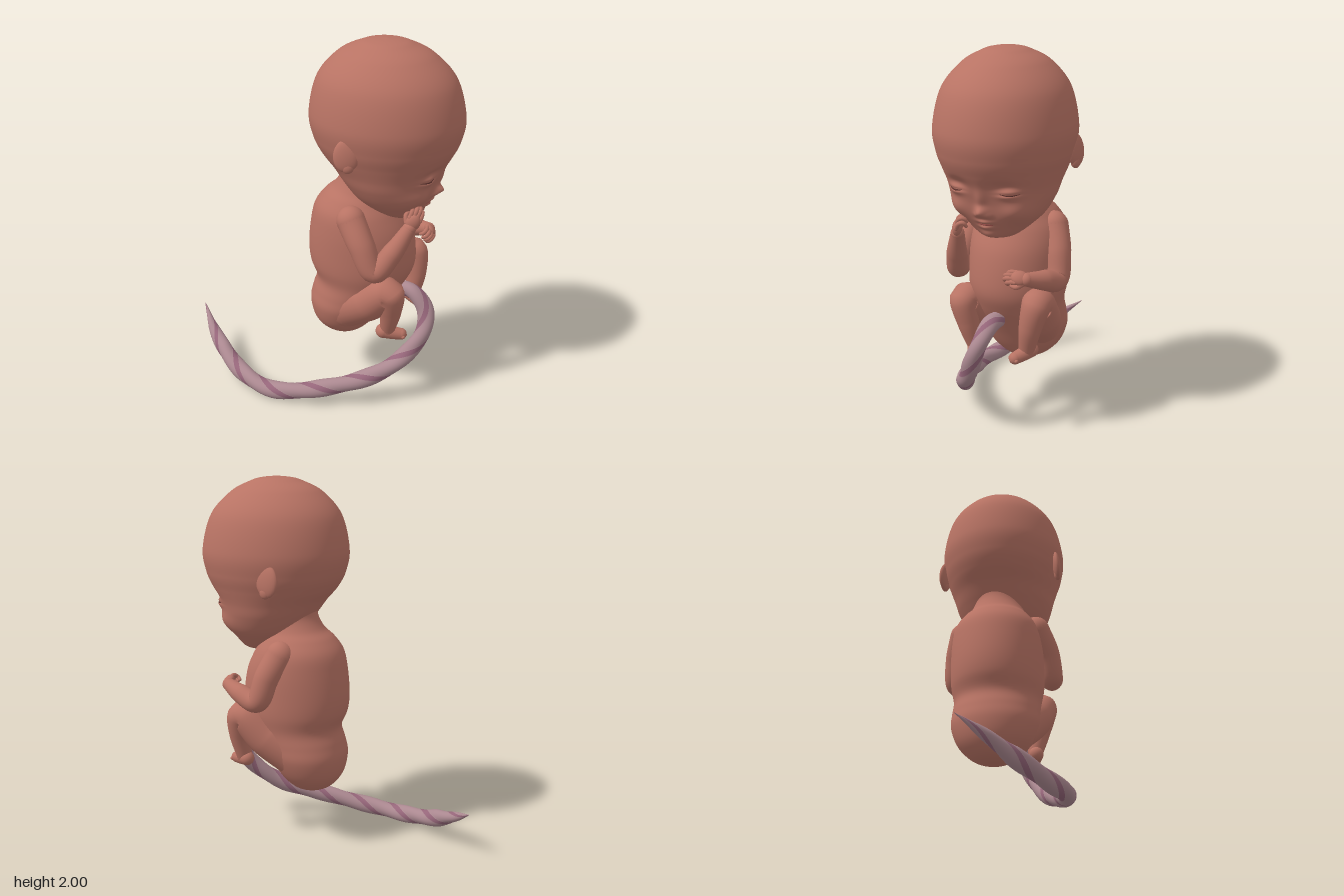
import * as THREE from 'three';
import { mergeVertices } from 'three/addons/utils/BufferGeometryUtils.js';

const skin = new THREE.MeshStandardMaterial({ color: 0xb87364 });
const cordPale = new THREE.MeshStandardMaterial({ color: 0xab8890 });
const cordDark = new THREE.MeshStandardMaterial({ color: 0x96667a });
const creaseMat = new THREE.MeshStandardMaterial({ color: 0x5e332e });
const lipMat = new THREE.MeshStandardMaterial({ color: 0xa0504c });

// Smooth surface over u (around) and v (along)
function grid(nu, nv, fn) {
  const pos = [], idx = [];
  for (let j = 0; j <= nv; j++)
    for (let i = 0; i <= nu; i++) pos.push(...fn(i / nu, j / nv));
  for (let j = 0; j < nv; j++)
    for (let i = 0; i < nu; i++) {
      const a = j * (nu + 1) + i, c = a + nu + 1;
      idx.push(a, a + 1, c + 1, a, c + 1, c);
    }
  const g = new THREE.BufferGeometry();
  g.setAttribute('position', new THREE.Float32BufferAttribute(pos, 3));
  g.setIndex(idx);
  const m = mergeVertices(g, 1e-5);
  m.computeVertexNormals();
  return m;
}

function mesh(name, geo, mat = skin) {
  const m = new THREE.Mesh(geo, mat);
  m.name = name;
  return m;
}

// Loft of level ellipses: [y, centre z, half depth, half width]
function loft(rows, nu, nv, shape = (p) => p) {
  const curve = (f) => new THREE.CatmullRomCurve3(rows.map(f), false, 'catmullrom', 0.5);
  const c1 = curve((r) => new THREE.Vector3(r[0], r[1], r[2]));
  const c2 = curve((r) => new THREE.Vector3(r[3], 0, 0));
  return grid(nu, nv, (u, v) => {
    const p = c1.getPoint(v), b = c2.getPoint(v).x, a = (u % 1) * Math.PI * 2;
    return shape([b * Math.sin(a), p.x, p.y + p.z * Math.cos(a)], Math.cos(a));
  });
}

// Tube of changing radius through points [x, y, z, r]; arc gives its angular range
function tube(pts, nu, nv, arc = () => [0, Math.PI * 2], lobe = () => 1) {
  const curve = new THREE.CatmullRomCurve3(pts.map((p) => new THREE.Vector3(p[0], p[1], p[2])));
  const { normals, binormals } = curve.computeFrenetFrames(nv);
  return grid(nu, nv, (u, v) => {
    const t = curve.getUtoTmapping(v) * (pts.length - 1);
    const k = Math.min(Math.floor(t), pts.length - 2);
    const [a0, a1] = arc(v), a = a0 + (a1 - a0) * u;
    const r = THREE.MathUtils.lerp(pts[k][3], pts[k + 1][3], t - k) * lobe(a, v);
    const j = Math.round(v * nv), p = curve.getPointAt(v);
    p.addScaledVector(normals[j], r * Math.cos(a)).addScaledVector(binormals[j], r * Math.sin(a));
    return [p.x, p.y, p.z];
  });
}

function ball(name, [x, y, z], sx, sy = sx, sz = sx) {
  const m = mesh(name, new THREE.SphereGeometry(1, 24, 16));
  m.position.set(x, y, z);
  m.scale.set(sx, sy, sz);
  return m;
}

// Round-ended limb
function limb(name, pts, nv = 40, nu = 24) {
  const g = new THREE.Group();
  g.name = name;
  g.add(mesh(name + 'Skin', tube(pts, nu, nv)));
  for (const p of [pts[0], pts[pts.length - 1]]) g.add(ball(name + 'End', p, p[3]));
  return g;
}

// Palm with four curled fingers and a thumb, built along +y with the palm facing +z
function hand(name, pos, dir, palm) {
  const g = new THREE.Group();
  g.name = name;
  g.add(ball('palm', [0, 0.025, 0], 0.038, 0.045, 0.025));
  for (let i = 0; i < 4; i++) {
    const x = -0.027 + i * 0.018, h = i === 0 || i === 3 ? 0.085 : 0.1;
    g.add(limb('finger', [[x, 0.045, 0, 0.012], [x, h - 0.01, 0.012, 0.012], [x, h, 0.035, 0.011], [x, h - 0.02, 0.05, 0.009]], 10, 8));
  }
  g.add(limb('thumb', [[0.028, 0.01, 0.01, 0.014], [0.043, 0.035, 0.025, 0.013], [0.036, 0.06, 0.04, 0.01]], 8, 8));
  const y = new THREE.Vector3(...dir).normalize(), x = y.clone().cross(new THREE.Vector3(...palm)).normalize();
  g.quaternion.setFromRotationMatrix(new THREE.Matrix4().makeBasis(x, y, x.clone().cross(y)));
  g.position.set(...pos);
  return g;
}

// Sole and toes along +z
function foot(name, pos, yaw) {
  const g = new THREE.Group();
  g.name = name;
  g.add(limb('sole', [[0, 0, -0.025, 0.04], [0, -0.008, 0.03, 0.036], [0, -0.012, 0.075, 0.032]], 14, 16));
  for (let i = 0; i < 5; i++) g.add(ball('toe', [-0.026 + i * 0.013, -0.015, 0.098 - Math.abs(i - 2) * 0.006], 0.0105));
  g.position.set(...pos);
  g.rotation.set(0.1, yaw, 0);
  return g;
}

// Facial relief: [x, y, spread x, spread y, height], mirrored when x is not 0
const features = [
  [0, 1.235, 0.03, 0.026, 0.045], [0, 1.3, 0.026, 0.05, 0.016], [0.03, 1.217, 0.018, 0.015, 0.014],
  [0.12, 1.37, 0.06, 0.035, -0.022], [0.145, 1.335, 0.048, 0.026, 0.026], [0.145, 1.336, 0.045, 0.008, -0.014],
  [0.17, 1.235, 0.07, 0.06, 0.034],
  [0, 1.18, 0.038, 0.012, 0.018], [0, 1.147, 0.034, 0.012, 0.018], [0, 1.1, 0.04, 0.025, 0.014],
];
function relief(x, y) {
  let d = 0;
  for (const [fx, fy, sx, sy, h] of features)
    for (const s of fx ? [-1, 1] : [1])
      d += h * Math.exp(-(((x - s * fx) / sx) ** 2 + ((y - fy) / sy) ** 2));
  return d;
}

function createModel() {
  const model = new THREE.Group();
  const body = new THREE.Group();
  body.name = 'body';
  body.position.set(0.02, 0, -0.007);
  body.rotation.y = Math.PI / 4;
  model.add(body);

  // Torso and neck
  const torso = mesh('torso', loft([
    [0.29, 0.085, 0, 0], [0.298, 0.085, 0.06, 0.065], [0.33, 0.085, 0.12, 0.13], [0.4, 0.09, 0.176, 0.195],
    [0.5, 0.112, 0.217, 0.235], [0.58, 0.145, 0.235, 0.238], [0.66, 0.18, 0.25, 0.238], [0.75, 0.182, 0.287, 0.253],
    [0.85, 0.178, 0.293, 0.256], [0.98, 0.172, 0.275, 0.252], [1.08, 0.16, 0.24, 0.235], [1.15, 0.165, 0.195, 0.195],
    [1.2, 0.185, 0.16, 0.158], [1.27, 0.21, 0.148, 0.138], [1.33, 0.23, 0.17, 0.165], [1.4, 0.25, 0.24, 0.23],
  ], 64, 90));
  torso.position.set(0.012, 0, -0.01);
  body.add(torso);

  // Head and face
  const headRows = [
    [1.065, 0.38, 0, 0], [1.072, 0.38, 0.06, 0.06], [1.09, 0.375, 0.105, 0.105], [1.14, 0.355, 0.16, 0.168],
    [1.2, 0.337, 0.21, 0.226], [1.28, 0.318, 0.252, 0.268], [1.35, 0.307, 0.293, 0.289], [1.42, 0.296, 0.343, 0.313],
    [1.5, 0.292, 0.382, 0.338], [1.62, 0.29, 0.4, 0.351], [1.8, 0.285, 0.354, 0.31], [1.92, 0.28, 0.247, 0.216],
    [1.975, 0.28, 0.14, 0.123], [1.992, 0.28, 0.08, 0.07], [2.0, 0.28, 0, 0],
  ];
  body.add(mesh('head', loft(headRows, 144, 190, ([x, y, z], front) =>
    [x, y, z + (front > 0 ? relief(x, y) * Math.min(1, front * 2.5) : 0)])));

  // Crease lying on the face surface
  const faceZ = (x, y) => {
    const k = headRows.findIndex((r) => r[0] > y), p = headRows[k - 1], q = headRows[k];
    const [c, a, b] = [1, 2, 3].map((i) => THREE.MathUtils.lerp(p[i], q[i], (y - p[0]) / (q[0] - p[0])));
    return c + a * Math.sqrt(Math.max(0, 1 - (x / b) ** 2)) + relief(x, y);
  };
  const crease = (name, x0, x1, y, sag, r, mat) => {
    const pts = [];
    for (let i = 0; i <= 6; i++) {
      const t = i / 6, x = x0 + (x1 - x0) * t, yy = y - sag * Math.sin(Math.PI * t);
      pts.push([x, yy, faceZ(x, yy), r * Math.sin(Math.PI * (0.05 + 0.9 * t))]);
    }
    body.add(mesh(name, tube(pts, 8, 20), mat));
  };
  crease('mouth', -0.045, 0.045, 1.163, -0.003, 0.007, lipMat);

  for (const s of [-1, 1]) {
    crease('closedEyelid', s * 0.1, s * 0.19, 1.338, 0.006, 0.004, creaseMat);
    // Ears
    const ear = new THREE.Group();
    ear.name = s > 0 ? 'leftEar' : 'rightEar';
    ear.add(ball('earBody', [0, 0, 0], 0.024, 0.085, 0.066));
    ear.add(ball('earLobe', [0, -0.055, 0.015], 0.02, 0.035, 0.032));
    ear.position.set(s * 0.328, 1.495, 0.19);
    ear.rotation.set(0.15, s * -0.2, s * 0.14);
    body.add(ear);
  }

  // Arms: right hand raised to the mouth, left forearm across the belly
  body.add(limb('rightArm', [[-0.205, 1.085, 0.175, 0.076], [-0.252, 0.97, 0.25, 0.07], [-0.266, 0.84, 0.325, 0.06],
    [-0.228, 0.95, 0.41, 0.054], [-0.183, 1.08, 0.48, 0.035]], 60));
  body.add(hand('rightHand', [-0.18, 1.09, 0.487], [0.2, 1, 0.4], [0.9, 0, -0.3]));
  body.add(limb('leftArm', [[0.21, 1.085, 0.175, 0.076], [0.255, 0.97, 0.23, 0.07], [0.275, 0.84, 0.285, 0.06],
    [0.25, 0.865, 0.39, 0.052], [0.2, 0.895, 0.49, 0.034]], 60));
  body.add(hand('leftHand', [0.195, 0.9, 0.495], [-0.9, 0.15, 0.35], [-0.1, -0.5, -0.6]));

  // Folded legs
  body.add(limb('rightLeg', [[-0.095, 0.5, 0.12, 0.125], [-0.16, 0.595, 0.27, 0.108], [-0.2, 0.69, 0.39, 0.08],
    [-0.18, 0.57, 0.395, 0.06], [-0.155, 0.44, 0.375, 0.042]], 60));
  body.add(foot('rightFoot', [-0.155, 0.42, 0.375], 0.35));
  body.add(limb('leftLeg', [[0.105, 0.5, 0.12, 0.125], [0.175, 0.62, 0.28, 0.11], [0.218, 0.735, 0.4, 0.08],
    [0.195, 0.62, 0.43, 0.06], [0.17, 0.485, 0.42, 0.042]], 60));
  body.add(foot('leftFoot', [0.17, 0.475, 0.42], -0.5));

  // Twisted cord: pale bands alternating with two dark spiral bands
  const cordPts = [[0.3, 0.615, 0.27, 0.04], [0.345, 0.608, 0.335, 0.044], [0.383, 0.53, 0.405, 0.044], [0.36, 0.42, 0.44, 0.045],
    [0.28, 0.31, 0.44, 0.045], [0.12, 0.195, 0.41, 0.047], [-0.13, 0.11, 0.315, 0.046], [-0.4, 0.047, 0.13, 0.046],
    [-0.505, 0.06, -0.06, 0.046], [-0.553, 0.12, -0.27, 0.045], [-0.567, 0.185, -0.42, 0.028], [-0.56, 0.26, -0.577, 0.001]];
  const cord = new THREE.Group();
  cord.name = 'cord';
  const twist = (v) => v * Math.PI * 8;
  const lobe = (a, v) => 1 + 0.07 * Math.cos(2 * (a - twist(v)));
  for (let i = 0; i < 2; i++) {
    const at = (from, to) => (v) => [twist(v) + i * Math.PI + from, twist(v) + i * Math.PI + to];
    cord.add(mesh('paleBand', tube(cordPts, 16, 200, at(-1.2, 1.2), lobe), cordPale));
    cord.add(mesh('darkBand', tube(cordPts, 6, 200, at(1.2, Math.PI - 1.2), lobe), cordDark));
  }
  model.add(cord);
  return model;
}

export { createModel };
